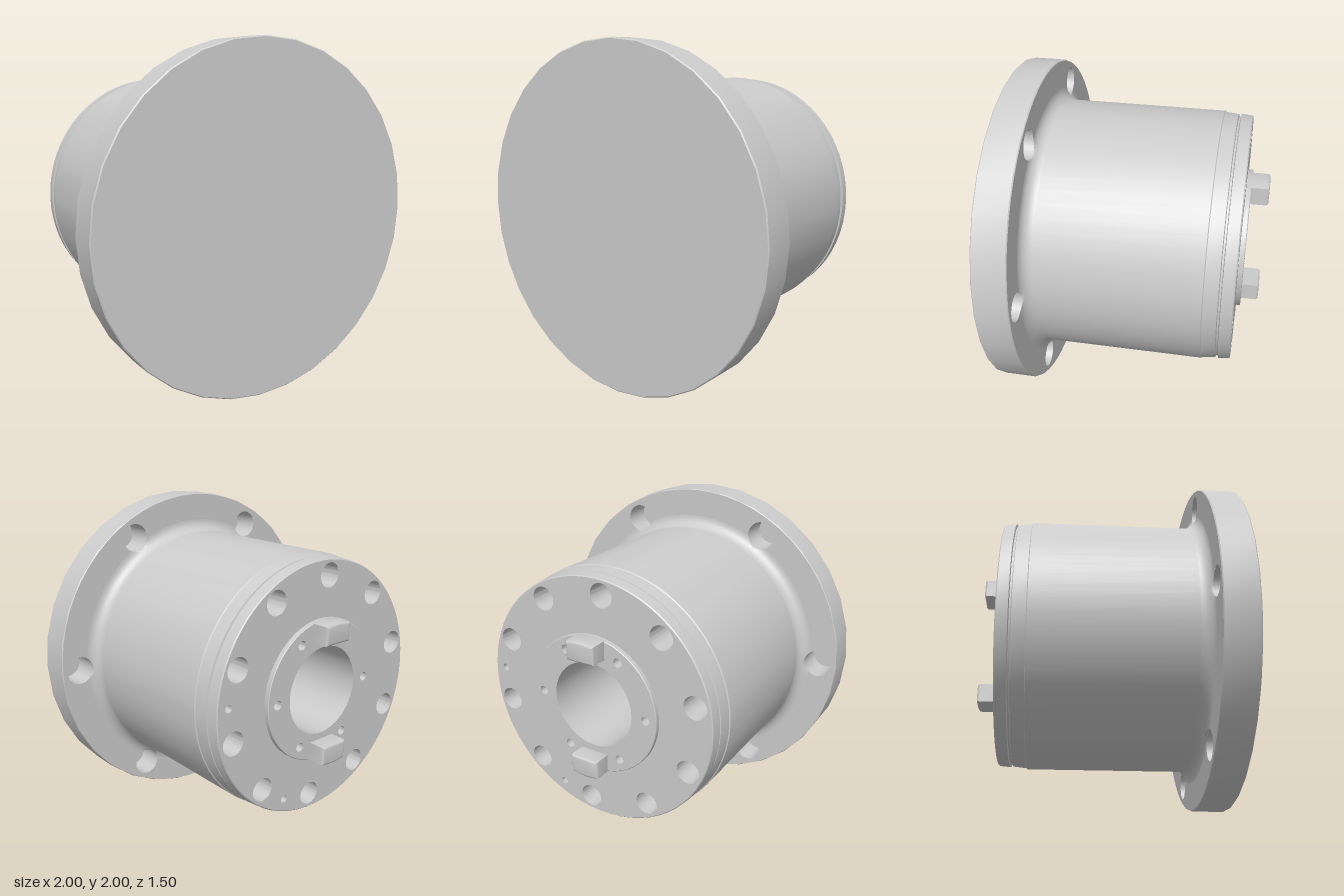
import * as THREE from 'three';
import { toCreasedNormals } from 'three/addons/utils/BufferGeometryUtils.js';

const DEG = Math.PI / 180;

export function createModel() {
  const model = new THREE.Group();
  model.name = 'flangedSpindle';
  const spindle = new THREE.Group(); // axis runs along z through the origin
  spindle.name = 'spindle';
  spindle.position.y = 1;
  model.add(spindle);

  const material = new THREE.MeshStandardMaterial({ color: 0xcccccc });
  const add = (name, geometry) => {
    const mesh = new THREE.Mesh(geometry, material);
    mesh.name = name;
    spindle.add(mesh);
    return mesh;
  };

  // Turned part: profile of [radius, distance towards the rear]
  const turned = (profile, segments) => {
    const g = new THREE.LatheGeometry(profile.map(([r, h]) => new THREE.Vector2(r, h)), segments);
    return g.rotateX(-Math.PI / 2);
  };
  const creased = (g) => toCreasedNormals(g, 0.45);

  // Evenly or freely placed holes on a pitch circle
  const ring = (angles, pitch, r, depth) => angles.map((a) => ({
    x: pitch * Math.cos(a * DEG), y: pitch * Math.sin(a * DEG), r, depth,
  }));
  const steps = (count, start) => Array.from({ length: count }, (_, i) => start + (i * 360) / count);

  // Rear-facing annular face with blind holes sunk into it
  function drilledFace(name, outer, inner, h, holes, segments) {
    const shape = new THREE.Shape().absarc(0, 0, outer, 0, Math.PI * 2);
    shape.holes.push(new THREE.Path().absarc(0, 0, inner, 0, Math.PI * 2));
    for (const { x, y, r } of holes) {
      shape.holes.push(new THREE.Path().absarc(-x, y, r, 0, Math.PI * 2));
    }
    const face = new THREE.ShapeGeometry(shape, segments).rotateY(Math.PI);
    add(name, face.translate(0, 0, -h));
    for (const { x, y, r, depth } of holes) {
      const liner = creased(turned([[r, 0], [r, -depth], [0, -depth]], segments));
      add(name + 'Hole', liner).position.set(x, y, -h);
    }
  }

  // Mounting flange with six bolt holes
  const boltPitch = 0.88, boltR = 0.085;
  add('flangeRim', creased(turned(
    [[0, -0.75], [0.994, -0.75], [1, -0.744], [1, -0.556], [0.994, -0.55]], 32)));
  drilledFace('flangeFace', 0.994, 0.755, -0.55, ring(steps(6, 0), boltPitch, boltR, 0.17), 32);

  // Fillet between flange and body, cut away where the bolt holes bite into it
  const filletProfile = [];
  for (let i = 0; i <= 8; i++) {
    const t = (i / 8) * Math.PI / 2;
    filletProfile.push([0.832 - 0.07 * Math.sin(t), -0.55 + 0.07 * (1 - Math.cos(t))]);
  }
  const fillet = turned(filletProfile, 240);
  const p = fillet.attributes.position;
  for (let i = 0; i < p.count; i++) {
    const x = p.getX(i), y = p.getY(i), r = Math.hypot(x, y);
    const a = Math.atan2(y, x);
    const d = a - Math.round(a / (60 * DEG)) * 60 * DEG;
    const s = boltPitch * Math.sin(d);
    if (Math.abs(s) >= boltR) continue;
    const limit = boltPitch * Math.cos(d) - Math.sqrt(boltR * boltR - s * s);
    if (r > limit) p.setXY(i, (x * limit) / r, (y * limit) / r);
  }
  add('fillet', creased(fillet));

  // Body with a stepped, grooved rear collar
  add('body', creased(turned([
    [0.763, -0.55], [0.763, 0.445], [0.757, 0.45], [0.748, 0.528], [0.735, 0.532],
    [0.735, 0.542], [0.752, 0.546], [0.746, 0.609], [0.74, 0.615],
  ], 64)));

  // Rear face: ten large holes and two small ones between them
  drilledFace('rearFace', 0.74, 0.41, 0.615, [
    ...ring(steps(10, 95), 0.655, 0.07, 0.2),
    ...ring([5, -67], 0.67, 0.022, 0.1),
  ], 64);

  // Raised nose ring with six small holes
  add('noseRim', creased(turned([[0.42, 0.6], [0.42, 0.641], [0.416, 0.645]], 64)));
  drilledFace('noseFace', 0.416, 0.26, 0.645, ring(steps(6, 0), 0.35, 0.027, 0.1), 64);

  // Central bore
  add('bore', creased(turned([[0.26, 0.645], [0.26, -0.5], [0, -0.5]], 64)));

  // Two drive keys, rounded off and following the nose edge
  const half = 0.09, spread = Math.asin(half / 0.42);
  const keyShape = new THREE.Shape();
  keyShape.moveTo(-half, 0.3);
  keyShape.lineTo(half, 0.3);
  keyShape.absarc(0, 0, 0.42, Math.PI / 2 - spread, Math.PI / 2 + spread, false);
  keyShape.closePath();
  const bevel = 0.014;
  for (const turn of [0, Math.PI]) {
    const key = new THREE.ExtrudeGeometry(keyShape, {
      depth: 0.13 - 2 * bevel, bevelThickness: bevel, bevelSize: bevel,
      bevelOffset: -bevel, bevelSegments: 3, curveSegments: 8,
    });
    key.translate(0, 0, bevel).rotateY(Math.PI);
    const mesh = add('driveKey', toCreasedNormals(key, 0.7));
    mesh.position.z = -0.62;
    mesh.rotation.z = turn;
  }

  return model;
}
